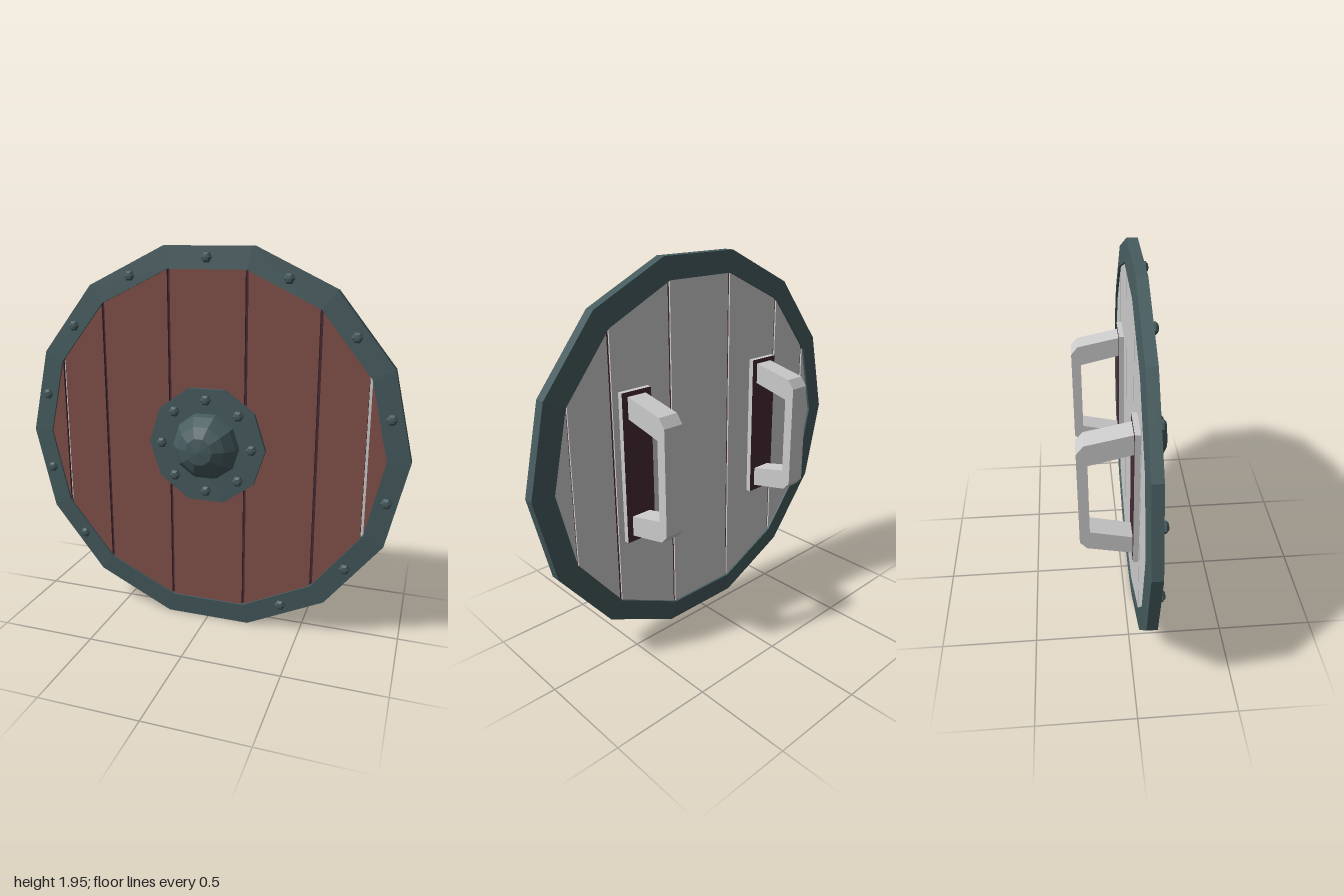
import * as THREE from 'three';

const CY = 0.975;      // height of the shield centre
const SIDES = 14;

const rimIron = new THREE.MeshStandardMaterial({ color: 0x465b5e });
rimIron.name = 'iron';
const wood = new THREE.MeshStandardMaterial({ color: 0x814f49 });
wood.name = 'red wood';
const dark = new THREE.MeshStandardMaterial({ color: 0x472a33 });
dark.name = 'dark maroon';
const pale = new THREE.MeshStandardMaterial({ color: 0xcccccc });
pale.name = 'pale grey';

// Faceted normals
function flat(geo) {
  const g = geo.index ? geo.toNonIndexed() : geo;
  g.computeVertexNormals();
  return g;
}

function add(parent, name, geo, mat, x = 0, y = 0, z = 0) {
  const m = new THREE.Mesh(geo, mat);
  m.name = name;
  m.position.set(x, y, z);
  parent.add(m);
  return m;
}

// Faceted ring or dome turned around the z axis, from [radius, z] pairs
function turned(points, sides) {
  const pts = points.map(([r, z]) => new THREE.Vector2(r, z));
  return flat(new THREE.LatheGeometry(pts, sides, Math.PI / 2).rotateX(Math.PI / 2));
}

// Outline of the board between two x values, cut from a regular polygon
function plankShape(x0, x1, radius) {
  const corners = [];
  for (let k = 0; k <= SIDES / 2; k++) {
    const a = Math.PI - (k * 2 * Math.PI) / SIDES;
    corners.push([radius * Math.cos(a), radius * Math.sin(a)]);
  }
  const height = (x) => {
    for (let i = 0; i < corners.length - 1; i++) {
      const [ax, ay] = corners[i], [bx, by] = corners[i + 1];
      if (x <= bx + 1e-6) return Math.max(0, ay + ((by - ay) * (x - ax)) / (bx - ax));
    }
    return 0;
  };
  const xs = [x0, ...corners.map((c) => c[0]).filter((x) => x > x0 + 1e-4 && x < x1 - 1e-4), x1];
  const bottom = xs.map((x) => new THREE.Vector2(x, -height(x)));
  const top = xs.map((x) => new THREE.Vector2(x, height(x))).reverse();
  return new THREE.Shape([...bottom, ...top].filter((p, i, all) => i === 0 || p.distanceTo(all[i - 1]) > 1e-5));
}

const slab = (shape, depth) => new THREE.ExtrudeGeometry(shape, { depth, bevelEnabled: false });

// Hexagonal rivet with a tapered head, facing +z
const rivetGeo = turned([[0.027, -0.01], [0.027, 0.01], [0.016, 0.02], [0, 0.022]], 6);

export function createModel() {
  const shield = new THREE.Group();
  shield.name = 'shield';

  // Planks: red front, maroon edges, pale back facing
  const planks = new THREE.Group();
  planks.name = 'planks';
  planks.position.y = CY;
  shield.add(planks);
  const R = 0.897, seams = [-0.795, -0.555, -0.198, 0.198, 0.555, 0.795], gap = 0.007;
  const edges = [-R, ...seams, R];
  for (let i = 0; i < edges.length - 1; i++) {
    const x0 = edges[i] + (i > 0 ? gap : 0);
    const x1 = edges[i + 1] - (i < edges.length - 2 ? gap : 0);
    const shape = plankShape(x0, x1, R);
    add(planks, 'plank', slab(shape, 0.045), [wood, dark], 0, 0, 0.05);
    add(planks, 'plankBack', slab(shape, 0.008), pale, 0, 0, 0.042);
  }
  // Narrow fillers between the planks
  for (const x of seams) {
    const outer = Math.abs(x) > 0.7;
    add(planks, 'seam', slab(plankShape(x - gap, x + gap, R), 0.025), outer ? pale : dark, 0, 0, 0.055);
  }

  // Rim, tapering towards its outer edge
  add(shield, 'rim', turned(
    [[0.889, 0.03], [1, 0.042], [1, 0.094], [0.889, 0.105], [0.889, 0.03]], SIDES), rimIron, 0, CY, 0);

  // Rim rivets at the middle of each side, with two missing at the bottom
  for (let k = 0; k < SIDES; k++) {
    if (k === 7 || k === 8) continue;
    const a = Math.PI / 2 - (k * 2 * Math.PI) / SIDES;
    add(shield, 'rimRivet', rivetGeo, rimIron, 0.922 * Math.cos(a), CY + 0.922 * Math.sin(a), 0.098);
  }

  // Central boss: flange, dome and rivets
  const boss = new THREE.Group();
  boss.name = 'boss';
  boss.position.y = CY;
  shield.add(boss);
  add(boss, 'bossFlange', turned([[0.307, 0.085], [0.307, 0.116], [0, 0.12]], 10), rimIron);
  add(boss, 'bossDome', turned(
    [[0.178, 0.11], [0.165, 0.15], [0.125, 0.2], [0.07, 0.232], [0, 0.241]], 10), rimIron);
  for (let k = 0; k < 8; k++) {
    const a = (k * Math.PI) / 4;
    add(boss, 'bossRivet', rivetGeo, rimIron, 0.238 * Math.cos(a), 0.238 * Math.sin(a), 0.118);
  }

  // Two handles on the back, each on a plate with a maroon face
  const grip = new THREE.Shape([
    [-0.02, 0.63], [0.205, 0.68], [0.24, 0.72], [0.24, 1.255], [0.205, 1.3], [-0.02, 1.348],
    [-0.02, 1.24], [0.19, 1.19], [0.19, 0.785], [-0.02, 0.735],
  ].map(([d, y]) => new THREE.Vector2(d, y)));
  const gripGeo = slab(grip, 0.106).translate(0, 0, -0.053).rotateY(Math.PI / 2);
  const plateGeo = new THREE.BoxGeometry(0.172, 0.77, 0.03);
  for (const x of [-0.447, 0.428]) {
    const handle = new THREE.Group();
    handle.name = 'handle';
    handle.position.x = x;
    shield.add(handle);
    add(handle, 'handlePlate', plateGeo, [pale, pale, pale, pale, pale, dark], 0, 0.985, 0.03);
    add(handle, 'handleGrip', gripGeo, pale);
  }
  return shield;
}
